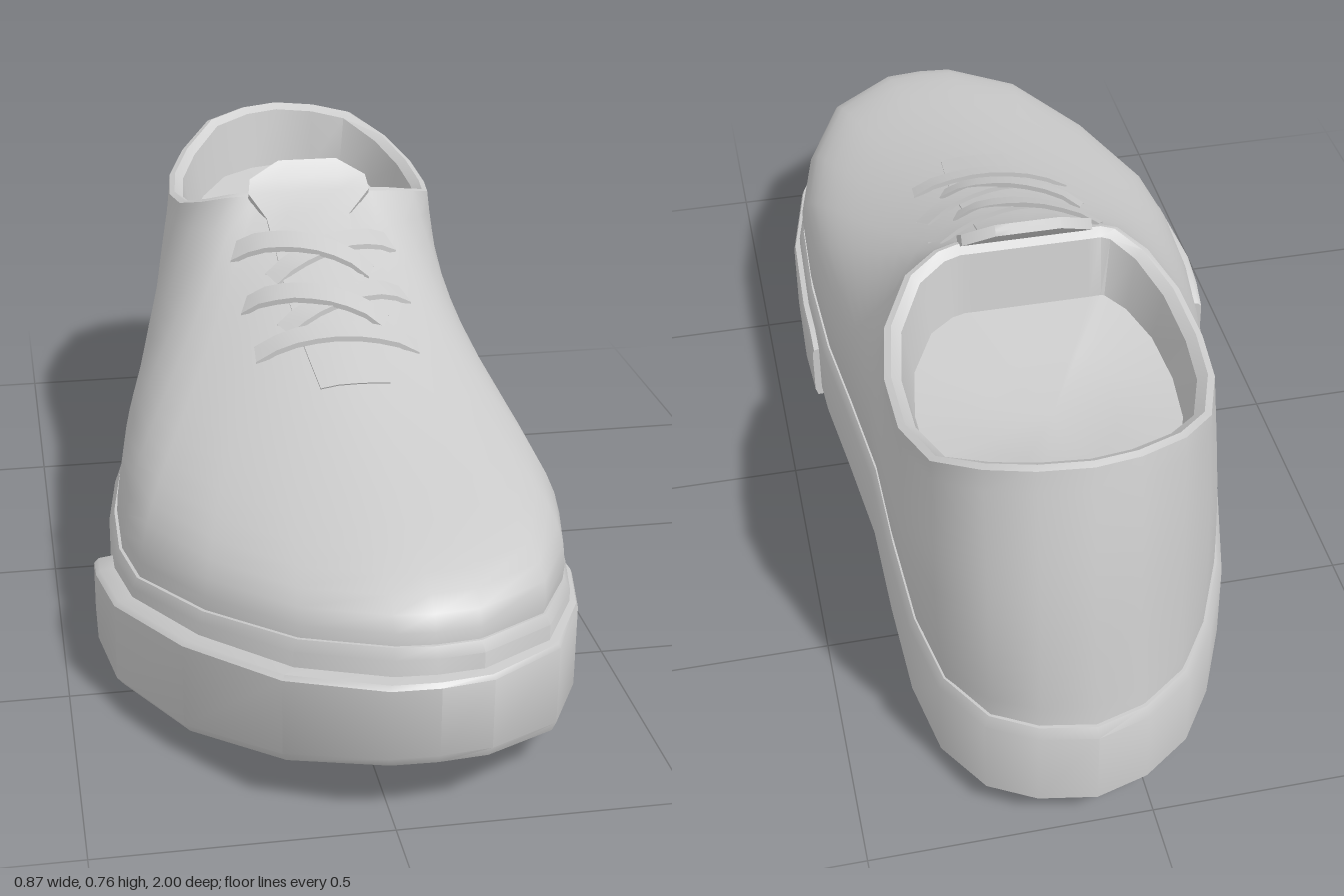
import * as THREE from 'three';
import { toCreasedNormals } from 'three/addons/utils/BufferGeometryUtils.js';

// Stations from the heel, along +x to the toe and back: sole x, sole z, collar x, collar z
const STATIONS = [
  [0.10, -1.00, 0.09, -0.89], [0.20, -0.98, 0.18, -0.875], [0.28, -0.93, 0.26, -0.84],
  [0.34, -0.82, 0.33, -0.76], [0.365, -0.66, 0.363, -0.64], [0.37, -0.45, 0.365, -0.50],
  [0.37, -0.24, 0.345, -0.38], [0.39, -0.03, 0.29, -0.28], [0.41, 0.15, 0.23, -0.24],
  [0.418, 0.34, 0.19, -0.23], [0.412, 0.52, 0.16, -0.23], [0.37, 0.69, 0.13, -0.23],
  [0.285, 0.86, 0.10, -0.23], [0.15, 0.955, 0.07, -0.23], [0.07, 0.965, 0.055, -0.23],
  [0.00, 0.96, 0.04, -0.23], [-0.15, 0.885, 0.015, -0.23], [-0.285, 0.71, -0.02, -0.23],
  [-0.38, 0.50, -0.05, -0.23], [-0.40, 0.34, -0.08, -0.23], [-0.395, 0.15, -0.11, -0.24],
  [-0.37, -0.03, -0.155, -0.29], [-0.32, -0.25, -0.19, -0.38], [-0.27, -0.45, -0.20, -0.50],
  [-0.22, -0.64, -0.187, -0.62], [-0.155, -0.79, -0.145, -0.74], [-0.085, -0.90, -0.075, -0.83],
  [0.005, -0.97, 0.01, -0.875],
];
const N = STATIONS.length;

// Heights along the length, as [z, y] pairs
const BOTTOM = [[-1, 0.04], [-0.8, 0.015], [-0.6, 0], [0, 0], [0.4, 0.01], [0.6, 0.025], [0.8, 0.055], [1, 0.115]];
const SOLE_TOP = [[-1, 0.23], [-0.75, 0.21], [-0.4, 0.187], [0, 0.19], [0.2, 0.197], [0.4, 0.215], [0.6, 0.245], [0.8, 0.285], [0.96, 0.31]];
const BUMPER_TOP = [[0.22, 0.125], [0.27, 0.158], [0.4, 0.175], [0.6, 0.205], [0.8, 0.235], [1, 0.265]];
const COLLAR = [[-0.89, 0.72], [-0.83, 0.7], [-0.75, 0.66], [-0.63, 0.637], [-0.5, 0.63], [-0.39, 0.643], [-0.3, 0.67], [-0.23, 0.7]];
// Shape of the upper along the length: wall rise, shoulder rise and reach, bulge at heel and toe
const WALL = [[0.4, 0.46], [0.96, 0.41]];
const SHOULDER = [[-0.3, 0.62], [0.3, 0.42], [0.96, 0.16]];
const REACH = [[0.5, 0.42], [0.96, 0.36]];
const BULGE = [[-1, -0.05], [-0.8, 0], [0.7, 0], [0.96, 0.01]];

function at(table, z) {
  if (z <= table[0][0]) return table[0][1];
  for (let i = 1; i < table.length; i++) {
    const [z0, y0] = table[i - 1], [z1, y1] = table[i];
    if (z <= z1) return THREE.MathUtils.mapLinear(z, z0, z1, y0, y1);
  }
  return table[table.length - 1][1];
}

// Outline point pushed outward by d; c = 0 for the sole, 2 for the collar
function offset(i, c, d) {
  const s = STATIONS[i % N], a = STATIONS[(i + N - 1) % N], b = STATIONS[(i + 1) % N];
  const tx = b[c] - a[c], tz = b[c + 1] - a[c + 1], l = Math.hypot(tx, tz);
  return new THREE.Vector3(s[c] + tz / l * d, 0, s[c + 1] - tx / l * d);
}
function outline(s, c, d) {
  const i = Math.floor(s);
  return offset(i, c, d).lerp(offset(i + 1, c, d), s - i);
}

// Skin a list of rings of equal length
function loft(rings, closed = true, crease = 0.7) {
  const n = rings[0].length, index = [];
  for (let v = 0; v < rings.length - 1; v++) {
    for (let u = 0; u < (closed ? n : n - 1); u++) {
      const a = v * n + u, b = v * n + (u + 1) % n;
      index.push(a, a + n, b, b, a + n, b + n);
    }
  }
  const geo = new THREE.BufferGeometry().setFromPoints(rings.flat());
  geo.setIndex(index);
  return toCreasedNormals(geo, crease);
}
const ring = (fn) => STATIONS.map((_, i) => fn(i));

export function createModel() {
  const group = new THREE.Group();
  const material = new THREE.MeshStandardMaterial({ color: 0xcccccc, side: THREE.DoubleSide });
  const add = (name, geo) => {
    const mesh = new THREE.Mesh(geo, material);
    mesh.name = name;
    group.add(mesh);
    return mesh;
  };

  // Sole: rockered bottom, upright wall, chamfered top lip
  const soleRing = (d, table, dy) => ring((i) => {
    const p = offset(i, 0, d);
    p.y = at(table, STATIONS[i][1]) + dy;
    return p;
  });
  const base = soleRing(-0.03, BOTTOM, 0);
  add('sole', loft([
    base.map((p, i) => p.clone().lerp(base[(N - i) % N], 0.5)), base, soleRing(0, BOTTOM, 0.022),
    soleRing(0, SOLE_TOP, -0.018), soleRing(-0.01, SOLE_TOP, 0), soleRing(-0.04, SOLE_TOP, 0),
  ]));

  // Toe bumper wrapped around the front of the sole, thinner towards +x
  const stops = [[8.4, 0], [8.4, 1], [8.6, 1]];
  for (let i = 9; i <= 19; i++) stops.push([i, 1]);
  stops.push([19.4, 1], [19.65, 1], [19.65, 0]);
  const bumperRing = (d, table, dy) => stops.map(([s, k]) => {
    const thin = 1 - 0.6 * THREE.MathUtils.clamp(outline(s, 0, 0).x / 0.4, 0, 1);
    const p = outline(s, 0, k ? d * thin : -0.01);
    p.y = at(table, p.z) + dy;
    return p;
  });
  add('toeBumper', loft([
    bumperRing(-0.028, BOTTOM, 0.002), bumperRing(0.022, BOTTOM, 0.002), bumperRing(0.035, BOTTOM, 0.018),
    bumperRing(0.035, BUMPER_TOP, -0.008), bumperRing(0.027, BUMPER_TOP, 0), bumperRing(-0.01, BUMPER_TOP, 0.005),
  ], false));

  // Upper: one curve per station from the sole to the collar, fuller on the +x side
  const ribs = STATIONS.map((s, i) => {
    const p0 = offset(i, 0, -0.015), p3 = offset(i, 2, 0);
    const side = THREE.MathUtils.clamp(s[0] / 0.3, -1, 1);
    p0.y = at(SOLE_TOP, s[1]) - 0.01;
    p3.y = at(COLLAR, s[3]);
    const rise = p3.y - p0.y;
    const p1 = offset(i, 0, 0.02 * side + at(BULGE, s[1]));
    p1.y = p0.y + rise * (at(WALL, s[1]) + Math.min(side, 0) * 0.07);
    const p2 = p0.clone().lerp(p3, at(REACH, s[1])).setY(p0.y + rise * at(SHOULDER, s[1]));
    return new THREE.CubicBezierCurve3(p0, p1, p2, p3);
  });
  const upperRings = [];
  for (let k = 0; k <= 14; k++) upperRings.push(ribs.map((r) => r.getPoint(k / 14)));
  const upper = add('upper', loft(upperRings, true, 0.9));

  // Collar rim, lining and footbed
  const collarRing = (d, fy) => ring((i) => offset(i, 2, d).setY(fy(at(COLLAR, STATIONS[i][3]))));
  const floorY = (y) => 0.54 + (y - 0.63) * 0.5;
  const floor = collarRing(-0.05, floorY);
  add('collarLining', loft([
    collarRing(0, (y) => y), collarRing(-0.012, (y) => y + 0.004),
    collarRing(-0.03, (y) => y - 0.008), floor,
  ]));
  const centre = new THREE.Vector3(0.08, 0.54, -0.55);
  add('footbed', loft([floor, floor.map((p) => p.clone().lerp(centre, 0.5)), floor.map(() => centre)]));

  // Height of the upper's surface under a point
  const ray = new THREE.Raycaster();
  const drop = (x, z) => {
    ray.set(new THREE.Vector3(x, 2, z), new THREE.Vector3(0, -1, 0));
    const hit = ray.intersectObject(upper)[0];
    return hit ? hit.point.y : 0.7;
  };

  // Tongue: [z, centre x, half width, height if it stands clear of the upper]
  const rows = [[0.33, 0.055, 0.065], [0.2, 0.055, 0.075], [0.05, 0.052, 0.08], [-0.08, 0.05, 0.08], [-0.17, 0.05, 0.085],
    [-0.22, 0.06, 0.125, 0.708], [-0.25, 0.062, 0.12, 0.73], [-0.275, 0.065, 0.06, 0.76]];
  const steps = [1, 0.5, 0, -0.5, -1];
  const tongueRings = rows.map(([z, cx, w, y]) => {
    const top = steps.map((u) => {
      const x = cx + u * w;
      return new THREE.Vector3(x, y === undefined ? drop(x, z) + 0.003 : y, z);
    });
    const under = top.map((p) => p.clone().add(new THREE.Vector3(0, -0.018, -0.01))).reverse();
    return [...top, ...under];
  });
  const shut = (r) => r.map((p, i) => p.clone().lerp(r[r.length - 1 - i], 0.5));
  add('tongue', loft([shut(tongueRings[0]), ...tongueRings, shut(tongueRings[rows.length - 1])]));

  // Laces: flat bands with their ends tucked into the upper
  const lace = (x0, z0, x1, z1, lift) => {
    const dir = new THREE.Vector2(x1 - x0, z1 - z0).normalize();
    const rings = [];
    for (let k = 0; k <= 8; k++) {
      const t = k / 8, x = x0 + (x1 - x0) * t, z = z0 + (z1 - z0) * t;
      const h = -0.006 + lift * Math.pow(Math.sin(Math.PI * t), 0.5);
      const corner = (side, dy) => {
        const px = x - dir.y * side * 0.022, pz = z + dir.x * side * 0.022;
        return new THREE.Vector3(px, drop(px, pz) + h + dy, pz);
      };
      rings.push([corner(1, 0.01), corner(-1, 0.01), corner(-1, 0), corner(1, 0)]);
    }
    return loft(rings);
  };
  add('lowerLace', lace(-0.11, 0.18, 0.2, 0.2, 0.015));
  for (const z of [0.03, -0.12]) {
    add('crossLaceLeft', lace(0.21, z, -0.05, z + 0.11, 0.015));
    add('crossLaceRight', lace(-0.11, z, 0.15, z + 0.11, 0.023));
  }
  return group;
}
